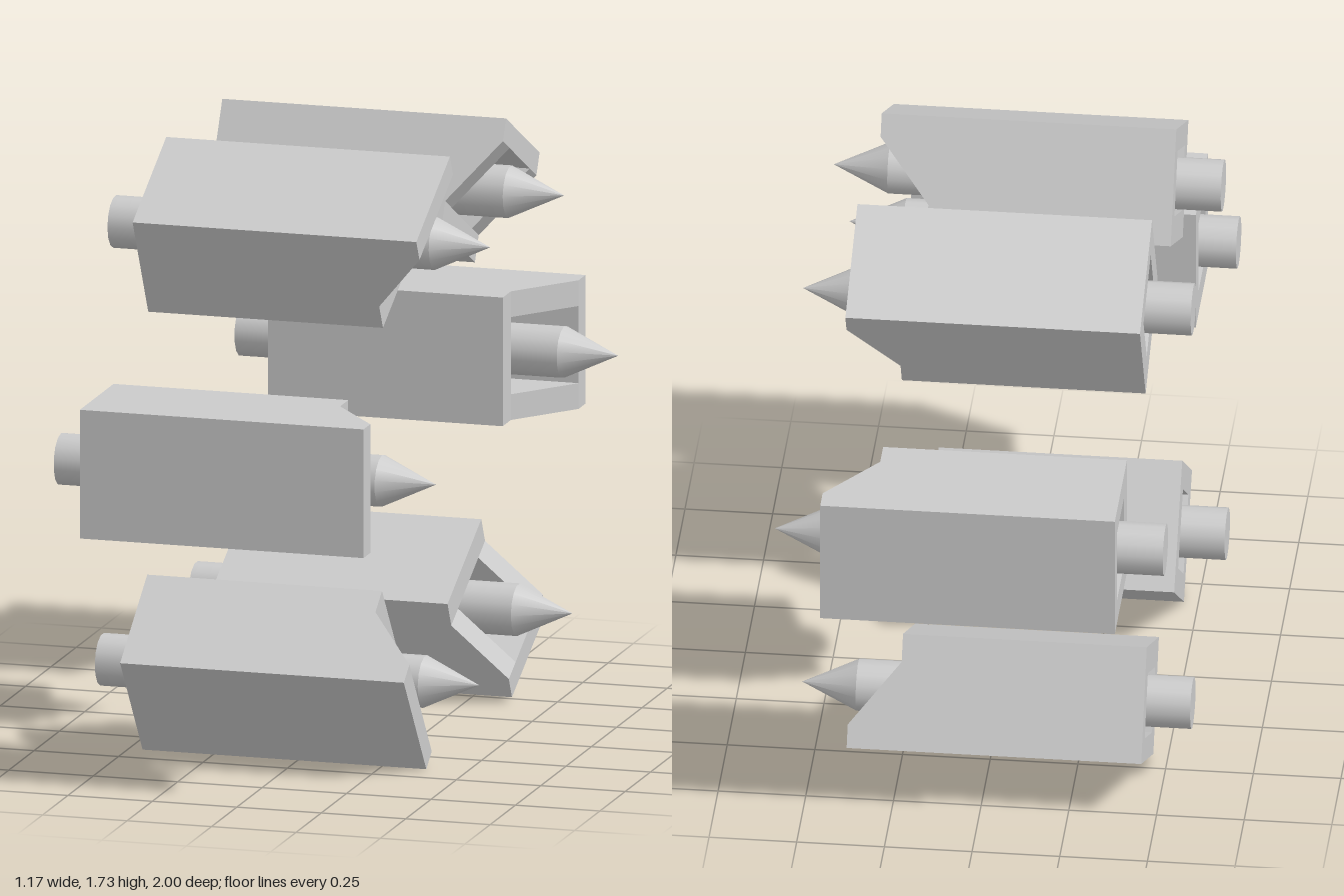
import * as THREE from 'three';

const LENGTH = 0.84;   // housing length along x
const RADIAL = 0.333;  // housing size away from the ring centre
const WIDTH = 0.375;   // housing size along the ring
const SIDE = 0.075;    // side wall thickness
const OUTER = 0.067;   // outer wall thickness
const INNER = 0.08;    // inner wall thickness
const CUT = 0.145;     // how much shorter the inner wall is

const material = new THREE.MeshStandardMaterial({ color: 0xcccccc });

function addMesh(parent, geometry, name) {
  const mesh = new THREE.Mesh(geometry, material);
  mesh.name = name;
  parent.add(mesh);
  return mesh;
}

// Hollow square tube, open at both ends, front end bevelled toward the ring centre.
// Local x runs from 0 (back) to LENGTH, local y points outward.
function createHousing() {
  const housing = new THREE.Group();
  housing.name = 'housing';
  const h = RADIAL / 2;

  const profile = new THREE.Shape([
    [0, -h], [LENGTH - CUT, -h], [LENGTH - CUT, -h + INNER],
    [LENGTH, h - OUTER], [LENGTH, h], [0, h],
  ].map(([x, y]) => new THREE.Vector2(x, y)));
  const side = new THREE.ExtrudeGeometry(profile, { depth: SIDE, bevelEnabled: false });
  addMesh(housing, side, 'sideWallA').position.z = WIDTH / 2 - SIDE;
  addMesh(housing, side, 'sideWallB').position.z = -WIDTH / 2;

  const gap = WIDTH - 2 * SIDE;
  addMesh(housing, new THREE.BoxGeometry(LENGTH, OUTER, gap), 'outerWall')
    .position.set(LENGTH / 2, h - OUTER / 2, 0);
  addMesh(housing, new THREE.BoxGeometry(LENGTH - CUT, INNER, gap), 'innerWall')
    .position.set((LENGTH - CUT) / 2, -h + INNER / 2, 0);
  return housing;
}

// Round rod with a pointed front, from x = back to x = tip.
function createRod(back, tip) {
  const rod = new THREE.Group();
  rod.name = 'pointedRod';
  const r = 0.075, cone = 0.16, sides = 14;
  const shaft = new THREE.CylinderGeometry(r, r, tip - cone - back, sides).rotateZ(-Math.PI / 2);
  addMesh(rod, shaft, 'shaft').position.x = (back + tip - cone) / 2;
  const point = new THREE.ConeGeometry(r, cone, sides, 1, true).rotateZ(-Math.PI / 2);
  addMesh(rod, point, 'point').position.x = tip - cone / 2;
  return rod;
}

// Ring of six units: centre, outward angle (from +z toward +y), housing back, rod back and tip
const UNITS = [
  { z: 0.833, y: 0.944, angle: 0, x: -0.465, back: -0.57, tip: 0.54 },
  { z: 0.241, y: 1.5, angle: 62.4, x: -0.463, back: -0.588, tip: 0.523 },
  { z: -0.43, y: 1.5, angle: 117.8, x: -0.445, back: -0.572, tip: 0.541 },
  { z: -0.833, y: 0.944, angle: 180, x: -0.407, back: -0.534, tip: 0.58 },
  { z: -0.541, y: 0.256, angle: 242.8, x: -0.46, back: -0.582, tip: 0.532 },
  { z: 0.376, y: 0.255, angle: -36.3, x: -0.459, back: -0.585, tip: 0.531 },
];

export function createModel() {
  const model = new THREE.Group();
  model.name = 'ringOfPointedRods';
  UNITS.forEach((u, i) => {
    const unit = new THREE.Group();
    unit.name = `unit${i + 1}`;
    unit.position.set(0, u.y, u.z);
    unit.rotation.x = Math.PI / 2 - THREE.MathUtils.degToRad(u.angle);
    const housing = createHousing();
    housing.position.x = u.x;
    unit.add(housing, createRod(u.back, u.tip));
    model.add(unit);
  });
  return model;
}
